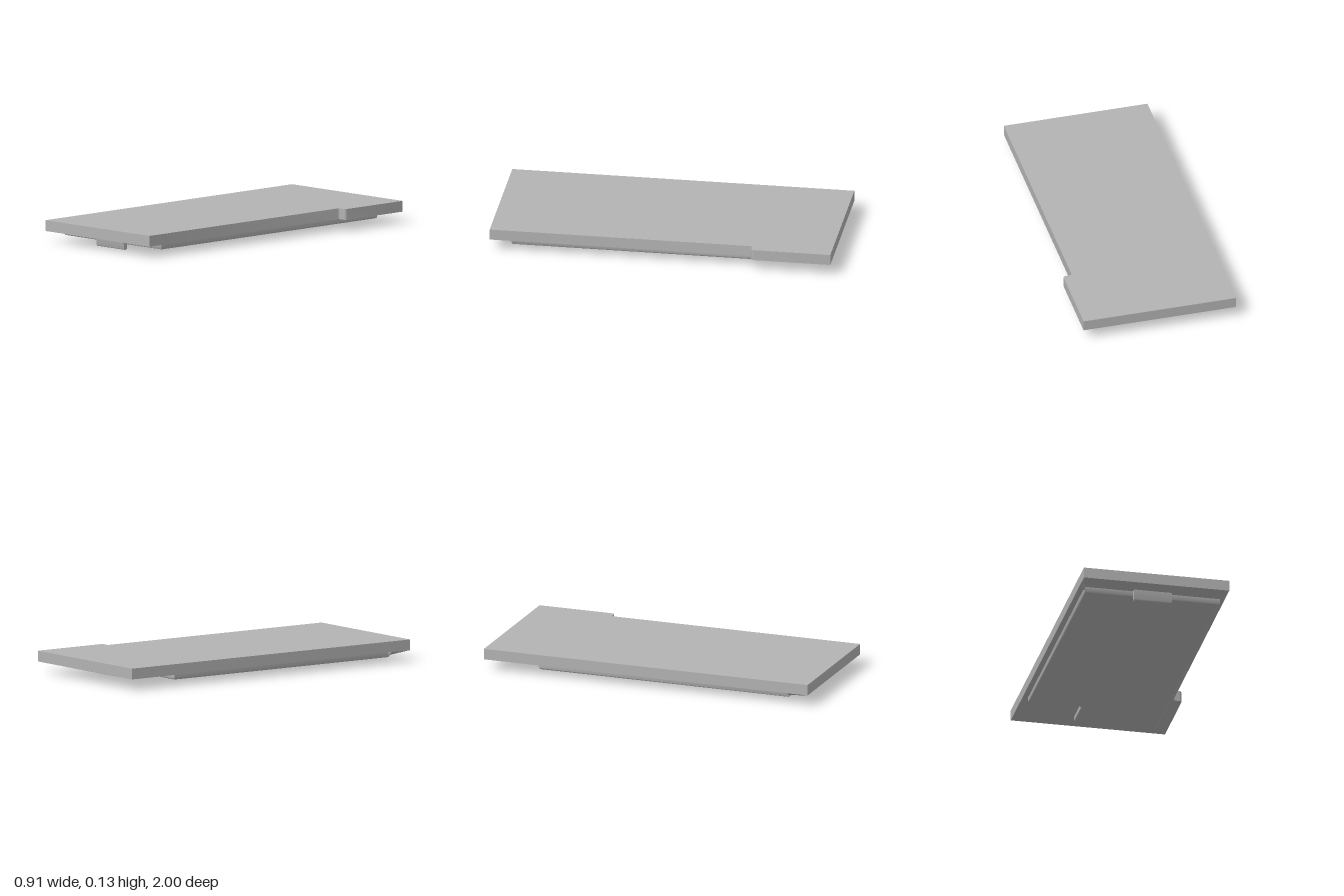
import * as THREE from 'three';
import { toCreasedNormals } from 'three/addons/utils/BufferGeometryUtils.js';

const grey = new THREE.MeshStandardMaterial({ color: 0xb3b3b3 });
grey.name = 'grey plastic';

// Extrude an (x, z) outline downward from yTop to yBottom, optionally rounding the edges
function slab(name, shape, yBottom, yTop, round = 0) {
  const geometry = new THREE.ExtrudeGeometry(shape, {
    depth: yTop - yBottom - 2 * round,
    bevelEnabled: round > 0,
    bevelThickness: round,
    bevelSize: round,
    bevelOffset: -round,
    bevelSegments: 4,
    curveSegments: 8,
  });
  geometry.rotateX(Math.PI / 2);
  geometry.translate(0, yTop - round, 0);
  const mesh = new THREE.Mesh(toCreasedNormals(geometry, 0.6), grey);
  mesh.name = name;
  return mesh;
}

export function createModel() {
  const group = new THREE.Group();
  group.name = 'cover';

  // Main plate with the wider rear side tab
  const plate = new THREE.Shape();
  plate.moveTo(-0.457, -1);
  plate.lineTo(0.455, -1);
  plate.lineTo(0.455, -0.555);
  plate.quadraticCurveTo(0.455, -0.535, 0.435, -0.535);
  plate.lineTo(0.415, -0.535);
  plate.quadraticCurveTo(0.402, -0.535, 0.402, -0.522);
  plate.lineTo(0.402, 1);
  plate.lineTo(-0.457, 1);
  plate.closePath();
  group.add(slab('plate', plate, 0.064, 0.127));

  // Raised inner panel on the underside, notched at its rear corner
  const panel = new THREE.Shape([
    [-0.425, -0.67], [-0.11, -0.67], [-0.11, -0.87],
    [0.375, -0.87], [0.375, 0.875], [-0.425, 0.875],
  ].map(([x, z]) => new THREE.Vector2(x, z)));
  group.add(slab('innerPanel', panel, 0.03, 0.09, 0.01));

  // Latch tongue at the front, with a rounded lower edge
  const tongue = new THREE.Shape();
  tongue.moveTo(0.872, 0.07);
  tongue.lineTo(0.872, 0.008);
  tongue.quadraticCurveTo(0.872, 0, 0.88, 0);
  tongue.lineTo(0.887, 0);
  tongue.quadraticCurveTo(0.895, 0, 0.895, 0.008);
  tongue.lineTo(0.9, 0.07);
  tongue.closePath();
  const tongueGeometry = new THREE.ExtrudeGeometry(tongue, { depth: 0.225, bevelEnabled: false });
  tongueGeometry.rotateY(-Math.PI / 2);
  tongueGeometry.translate(0.085, 0, 0);
  const latch = new THREE.Mesh(toCreasedNormals(tongueGeometry, 0.6), grey);
  latch.name = 'latchTongue';
  group.add(latch);

  // Small sloped gusset from the plate's front corner to the panel
  const tip = [-0.457, 0.065, 1];
  const side = [-0.457, 0.065, 0.87];
  const inner = [-0.422, 0.065, 0.87];
  const low = [-0.422, 0.042, 0.87];
  const faces = [tip, side, low, tip, low, inner, side, inner, low, tip, inner, side];
  const gussetGeometry = new THREE.BufferGeometry();
  gussetGeometry.setAttribute('position', new THREE.Float32BufferAttribute(faces.flat(), 3));
  gussetGeometry.computeVertexNormals();
  const gusset = new THREE.Mesh(gussetGeometry, grey);
  gusset.name = 'cornerGusset';
  group.add(gusset);

  return group;
}
